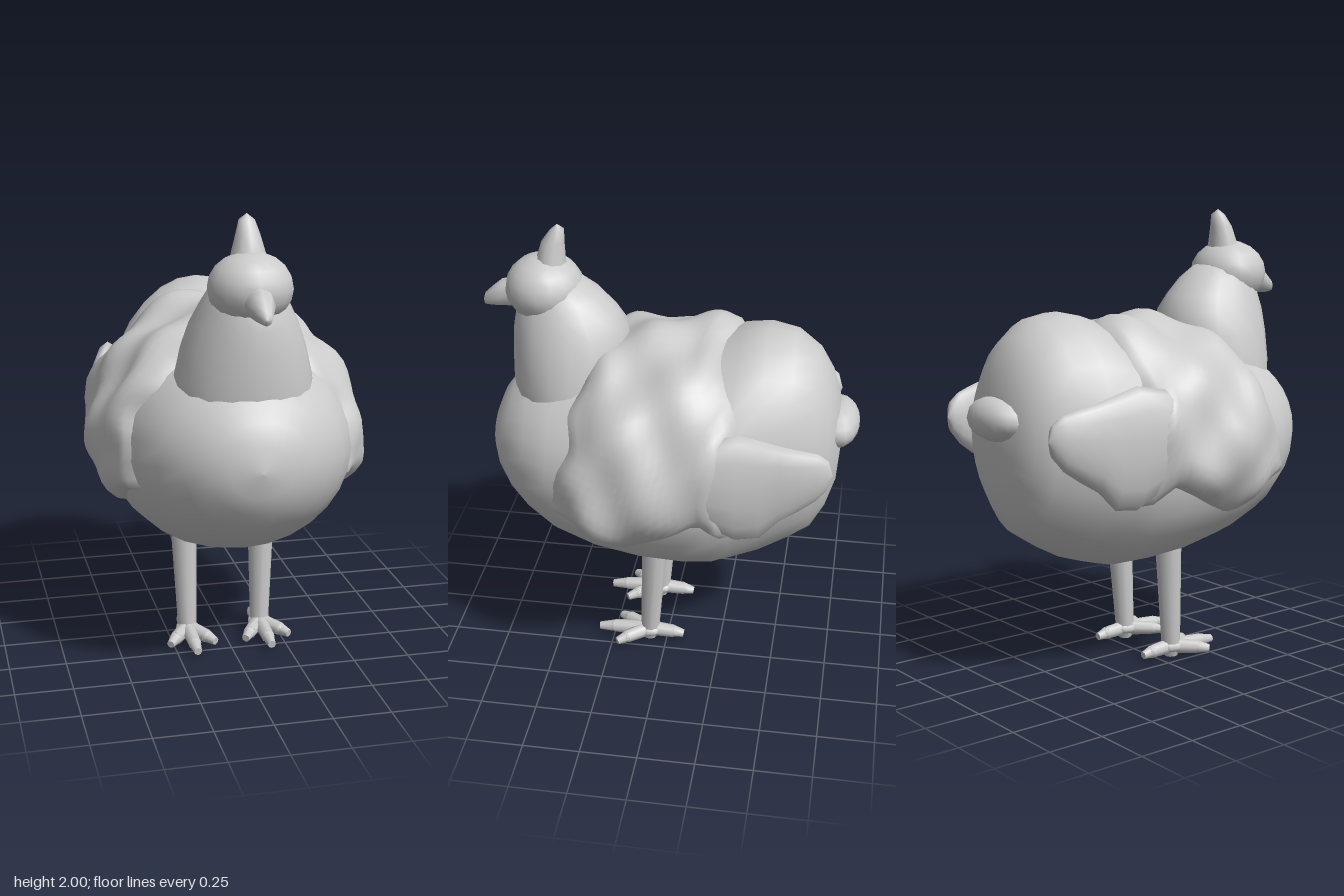
import * as THREE from 'three';

const mat = new THREE.MeshStandardMaterial({ color: 0xcccccc });
const matTwoSided = new THREE.MeshStandardMaterial({ color: 0xcccccc, side: THREE.DoubleSide });

// Grid surface from fn(i, j); j wraps round when closed
function surface(rows, cols, closed, fn) {
  const pos = [], idx = [];
  const n = closed ? cols : cols + 1;
  for (let i = 0; i < rows; i++) for (let j = 0; j < n; j++) pos.push(...fn(i, j));
  for (let i = 0; i < rows - 1; i++) for (let j = 0; j < cols; j++) {
    const k = (j + 1) % n;
    const a = i * n + j, b = i * n + k, c = a + n, d = b + n;
    idx.push(a, b, c, b, d, c);
  }
  const g = new THREE.BufferGeometry();
  g.setAttribute('position', new THREE.Float32BufferAttribute(pos, 3));
  g.setIndex(idx);
  g.computeVertexNormals();
  return g;
}

// Elliptical rings [cx, cy, cz, r1, r2]; 'z' runs front to back, 'y' runs upwards
function loft(rings, sides, axis) {
  return surface(rings.length, sides, true, (i, j) => {
    const [cx, cy, cz, r1, r2] = rings[i];
    const a = (j / sides) * Math.PI * 2;
    const s = Math.sin(a) * r1, c = Math.cos(a) * r2;
    return axis === 'z' ? [cx + s, cy + c, cz] : [cx + s, cy, cz + c];
  });
}

// Linear lookup in rows sorted by falling z
function lookup(table, z) {
  for (let i = 0; i < table.length - 1; i++) {
    const p = table[i], q = table[i + 1];
    if (z >= q[0]) {
      const f = Math.min(1, Math.max(0, (p[0] - z) / (p[0] - q[0])));
      return p.map((v, k) => v + (q[k] - v) * f);
    }
  }
  return table[table.length - 1];
}

// Body stations: z, bottom, top, half width
const BODY = [
  [0.8, 1.0, 1.0, 0], [0.785, 0.89, 1.11, 0.13], [0.75, 0.81, 1.2, 0.22], [0.69, 0.73, 1.28, 0.31],
  [0.6, 0.65, 1.34, 0.395], [0.48, 0.57, 1.39, 0.465], [0.3, 0.505, 1.43, 0.515], [0.1, 0.465, 1.47, 0.535],
  [-0.1, 0.45, 1.48, 0.53], [-0.22, 0.45, 1.5, 0.505], [-0.3, 0.47, 1.56, 0.475], [-0.42, 0.51, 1.585, 0.425],
  [-0.54, 0.575, 1.565, 0.37], [-0.64, 0.64, 1.49, 0.31], [-0.7, 0.75, 1.39, 0.245], [-0.74, 0.88, 1.26, 0.16],
  [-0.755, 1.07, 1.08, 0],
];

// Lower edge of the feather mantle: z, y
const EDGE = [
  [0.55, 0.87], [0.45, 0.84], [0.35, 0.81], [0.25, 0.74], [0.15, 0.69], [0.05, 0.73],
  [-0.06, 0.8], [-0.18, 0.86], [-0.28, 0.77], [-0.4, 0.8],
];

// Ragged feather layer laid over the back and flanks
function mantleGeometry() {
  const rows = 23, cols = 48;
  return surface(rows, cols, false, (i, j) => {
    const s = i / (rows - 1), t = (j / cols) * 2 - 1, side = Math.abs(t);
    // Front edge runs further forward low on the flanks, ending in a lobe
    const zf = 0.36 + 0.09 * side + 0.09 * Math.max(0, side - 0.75) * 4 + 0.02 * Math.sin(side * 19);
    const zr = -0.25 - 0.13 * side + 0.03 * Math.sin(t * 9);
    const z = zf + (zr - zf) * s;
    const [, lo, hi, w] = lookup(BODY, z);
    const cy = (lo + hi) / 2, h = (hi - lo) / 2;
    const reach = Math.acos((lookup(EDGE, z)[1] - cy) / h);
    const a = t * reach;
    const rim = Math.min(1, s * 5, (1 - s) * 7, (1 - side) * 7);
    const lump = 0.014 * Math.sin(z * 19 + a * 5) + 0.014 * Math.sin(z * 12 - a * 8 + 1);
    const off = -0.025 + (0.095 + lump) * Math.sqrt(rim);
    return [Math.sin(a) * (w + off), cy + Math.cos(a) * (h + off), z];
  });
}

// Tapered round limb between two points
function limb(p, q, r0, r1, sides = 8) {
  const a = new THREE.Vector3(...p), b = new THREE.Vector3(...q);
  const d = b.clone().sub(a);
  const g = new THREE.CylinderGeometry(r1, r0, d.length(), sides);
  g.applyQuaternion(new THREE.Quaternion().setFromUnitVectors(new THREE.Vector3(0, 1, 0), d.normalize()));
  const m = a.add(b).multiplyScalar(0.5);
  return g.translate(m.x, m.y, m.z);
}

function ellipsoid(c, r, w = 16, h = 10) {
  return new THREE.SphereGeometry(1, w, h).scale(...r).translate(...c);
}

export function createModel() {
  const model = new THREE.Group();
  model.name = 'bird';
  const add = (name, geometry, parent = model, material = mat) => {
    const mesh = new THREE.Mesh(geometry, material);
    mesh.name = name;
    parent.add(mesh);
    return mesh;
  };

  // Trunk and feather layer
  add('body', loft(BODY.map(([z, lo, hi, w]) => [0, (lo + hi) / 2, z, w, (hi - lo) / 2]), 28, 'z'));
  add('featherMantle', mantleGeometry(), model, matTwoSided);
  add('tail', ellipsoid([0, 1.155, -0.735], [0.17, 0.095, 0.095], 14, 8));

  // Neck and head
  add('neck', loft([
    [0, 1.22, 0.44, 0.295, 0.25], [0, 1.32, 0.44, 0.29, 0.26], [0, 1.45, 0.44, 0.26, 0.26],
    [0, 1.55, 0.445, 0.225, 0.25], [0, 1.62, 0.46, 0.19, 0.22], [0, 1.69, 0.48, 0.155, 0.175],
    [0, 1.75, 0.5, 0.11, 0.11], [0, 1.76, 0.5, 0, 0],
  ], 18, 'y'));
  add('head', ellipsoid([0, 1.71, 0.555], [0.177, 0.147, 0.17]));
  add('crest', loft([
    [0, 1.8, 0.525, 0.08, 0.075], [0, 1.85, 0.52, 0.07, 0.063], [0, 1.92, 0.51, 0.05, 0.05],
    [0, 1.975, 0.49, 0.033, 0.03], [0, 2.0, 0.49, 0, 0],
  ], 10, 'y'));
  add('beak', loft([
    [0, 1.63, 0.83, 0, 0], [0, 1.635, 0.82, 0.025, 0.028], [0, 1.65, 0.785, 0.04, 0.046],
    [0, 1.67, 0.74, 0.058, 0.064], [0, 1.68, 0.66, 0.065, 0.07],
  ], 8, 'z'));

  // Wings and legs, one set per side
  for (const side of [1, -1]) {
    const label = side > 0 ? 'left' : 'right';

    const wing = new THREE.Group();
    wing.name = label + 'Wing';
    wing.scale.x = side;
    model.add(wing);
    add('wingTip', loft([
      [0.5, 1.06, -0.08, 0, 0], [0.5, 1.07, -0.13, 0.06, 0.13], [0.485, 1.08, -0.22, 0.075, 0.21],
      [0.45, 1.05, -0.34, 0.085, 0.26], [0.435, 1.04, -0.44, 0.068, 0.24], [0.425, 1.07, -0.52, 0.06, 0.185],
      [0.412, 1.085, -0.6, 0.055, 0.15], [0.395, 1.1, -0.67, 0.046, 0.115], [0.388, 1.11, -0.715, 0.033, 0.07],
      [0.385, 1.11, -0.735, 0, 0],
    ], 14, 'z'), wing);

    const leg = new THREE.Group();
    leg.name = label + 'Leg';
    leg.position.x = side * 0.17;
    leg.scale.x = side;
    model.add(leg);
    add('shank', limb([0, 0.04, 0.08], [0.01, 0.56, 0.053], 0.042, 0.06, 10), leg);
    add('ankle', ellipsoid([0, 0.045, 0.085], [0.055, 0.03, 0.065], 10, 6), leg);
    add('sole', limb([0, 0, 0.08], [0, 0.03, 0.08], 0.03, 0.04), leg);
    // Three forward toes and one behind, each with a narrow claw
    for (const [x, z] of [[0, 0.32], [0.105, 0.22], [-0.1, 0.23], [0, -0.08]]) {
      const mid = [x * 0.7, 0.038, 0.08 + (z - 0.08) * 0.7];
      add('toe', limb([0, 0.045, 0.08], mid, 0.035, 0.03), leg);
      add('toeKnuckle', ellipsoid(mid, [0.03, 0.028, 0.03], 8, 6), leg);
      add('claw', limb(mid, [x, 0.03, z], 0.028, 0.018), leg);
    }
  }
  return model;
}
